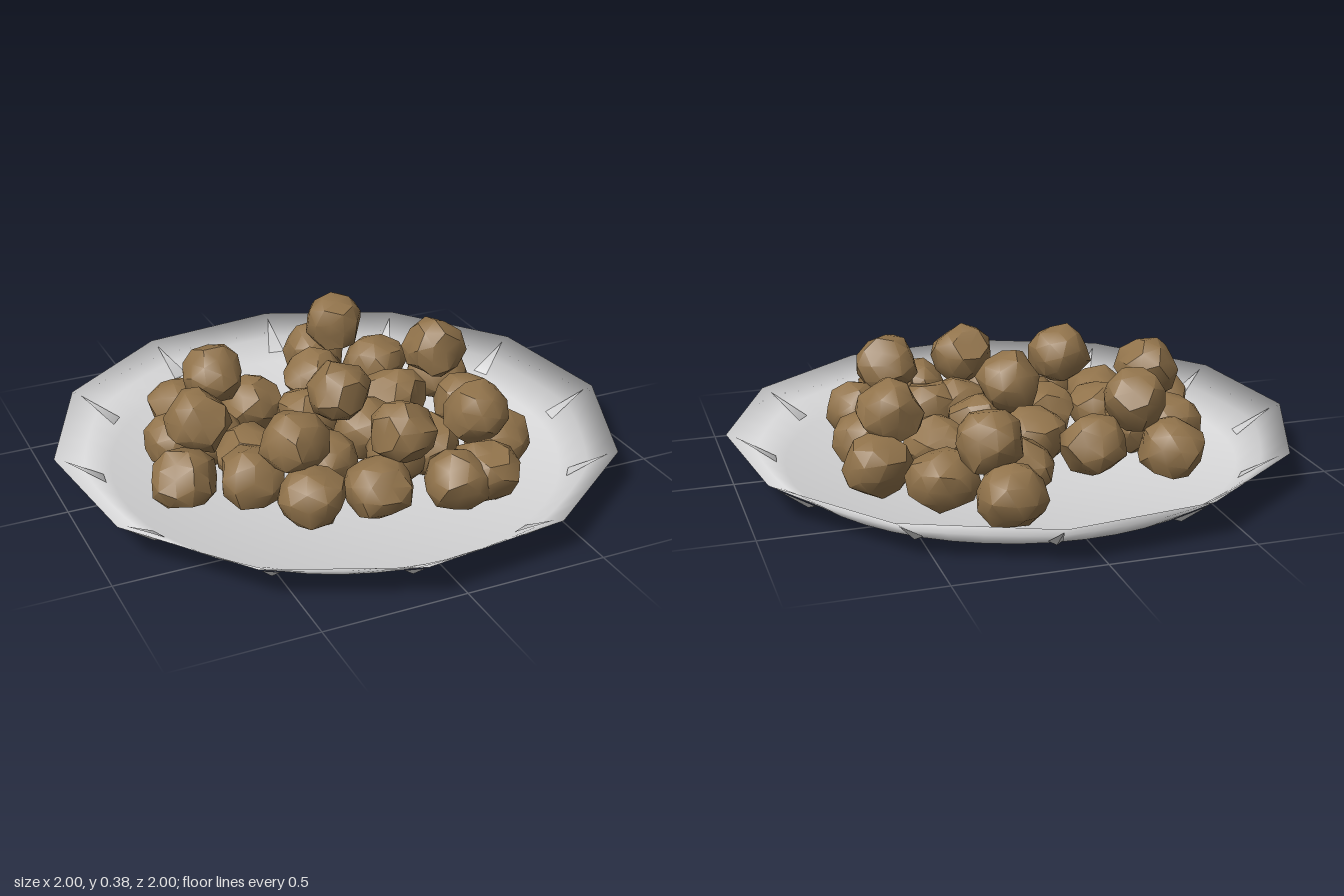
import * as THREE from 'three';
import { mergeVertices, toCreasedNormals } from 'three/addons/utils/BufferGeometryUtils.js';

const SIDES = 12;
const STEPS = SIDES * 4;
const TURN = THREE.MathUtils.degToRad(7.9);
const HALF = Math.PI / SIDES;

// Small seeded generator
function seeded(seed) {
  let s = seed;
  return () => (s = (s * 16807) % 2147483647) / 2147483647;
}

// Rings lofted from a round base to a twelve-cornered rim.
// Each level: t (0 base, 1 rim), scale of the base, lift, and normal as [outward, up]
function shellGeometry(levels, inside) {
  const pos = [], nor = [], idx = [];
  for (const { t, scale = 1, lift = 0, out, up } of levels) {
    for (let i = 0; i < STEPS; i++) {
      const a = (i / STEPS) * Math.PI * 2;
      const rim = 1.01 * Math.cos(HALF) / Math.cos((a % (2 * HALF)) - HALF);
      const r = THREE.MathUtils.lerp(0.81, rim, t) * scale;
      const c = Math.cos(a + TURN), s = Math.sin(a + TURN), len = Math.hypot(out, up);
      pos.push(r * c, 0.13 * t + lift, r * s);
      nor.push(c * out / len, up / len, s * out / len);
    }
  }
  for (let k = 0; k < levels.length - 1; k++) {
    for (let i = 0; i < STEPS; i++) {
      const a = k * STEPS + i, b = k * STEPS + (i + 1) % STEPS, c = a + STEPS, d = b + STEPS;
      if (inside) idx.push(a, b, c, b, d, c);
      else idx.push(a, c, b, b, c, d);
    }
  }
  const g = new THREE.BufferGeometry();
  g.setAttribute('position', new THREE.Float32BufferAttribute(pos, 3));
  g.setAttribute('normal', new THREE.Float32BufferAttribute(nor, 3));
  g.setIndex(idx);
  return g;
}

// Flat-sided triangles for a pleat lying along +x
function facets(points) {
  const g = new THREE.BufferGeometry();
  g.setAttribute('position', new THREE.Float32BufferAttribute(points.flat(), 3));
  g.computeVertexNormals();
  return g;
}

// Lumpy ball, slightly boxy, with broad soft facets
function lumpGeometry(seed) {
  const rand = seeded(seed);
  let g = new THREE.IcosahedronGeometry(1, 1);
  g.deleteAttribute('normal');
  g.deleteAttribute('uv');
  g = mergeVertices(g, 1e-4);
  const p = g.attributes.position, v = new THREE.Vector3();
  for (let i = 0; i < p.count; i++) {
    v.fromBufferAttribute(p, i);
    const boxy = Math.pow(v.x ** 4 + v.y ** 4 + v.z ** 4, -0.17);
    v.multiplyScalar(0.104 * boxy * (0.92 + 0.18 * rand()));
    p.setXYZ(i, v.x, v.y, v.z);
  }
  return toCreasedNormals(g, 0.65);
}

export function createModel() {
  const model = new THREE.Group();
  model.name = 'plateOfLumps';
  const metal = new THREE.MeshStandardMaterial({ color: 0xd8d8d9 });
  metal.name = 'pale grey metal';
  const brown = new THREE.MeshStandardMaterial({ color: 0x91734b });
  brown.name = 'brown crust';

  // Plate: dished inside, sloping outside and flat underside
  const plate = new THREE.Group();
  plate.name = 'plate';
  const addTo = (parent, geometry, name) => {
    const mesh = new THREE.Mesh(geometry, metal);
    mesh.name = name;
    parent.add(mesh);
    return mesh;
  };
  const inner = [
    { t: 0, scale: 0.001, lift: 0.004, out: 0, up: 1 },
    { t: 0, scale: 0.5, lift: 0.004, out: -0.12, up: 1 },
    { t: 0, lift: 0.004, out: -0.28, up: 1 },
    { t: 0.5, lift: 0.003, out: 0.3, up: 0.9 },
    { t: 1, out: 0.9, up: 0.35 },
  ];
  const outer = [
    { t: 0, out: 0.75, up: -0.65 },
    { t: 0.5, out: 0.95, up: 0 },
    { t: 1, out: 0.9, up: 0.35 },
  ];
  addTo(plate, shellGeometry(inner, true), 'plateInside');
  addTo(plate, shellGeometry(outer, false), 'plateOutside');
  const base = addTo(plate, new THREE.CircleGeometry(0.81, STEPS), 'plateUnderside');
  base.rotation.set(Math.PI / 2, 0, TURN);

  // Pleats pinched into the wall at each corner, seen on both faces
  const innerPleat = facets([[0.975, 0.118, 0], [0.84, 0.029, -0.031], [0.84, 0.029, 0.031]]);
  const low = [-0.75, 0.66, 0];
  innerPleat.setAttribute('normal', new THREE.Float32BufferAttribute([0.3, 0.95, 0, ...low, ...low], 3));
  const tip = [0.978, 0.106, 0], ridge = [0.864, 0.015, 0];
  const left = [0.85, 0.024, -0.025], right = [0.85, 0.024, 0.025];
  const outerPleat = facets([tip, ridge, left, tip, right, ridge, ridge, right, left]);
  for (let i = 0; i < SIDES; i++) {
    const pleat = new THREE.Group();
    pleat.name = 'pleat' + (i + 1);
    pleat.rotation.y = -TURN - i * 2 * HALF;
    addTo(pleat, innerPleat, 'pleatInside');
    addTo(pleat, outerPleat, 'pleatOutside');
    plate.add(pleat);
  }
  model.add(plate);

  // Lumps as [x, z] centres, in two layers
  const lower = [
    [-0.46, -0.39], [-0.21, -0.28], [-0.55, -0.14], [-0.44, -0.11], [-0.62, 0.13], [-0.36, 0.06],
    [-0.41, 0.22], [-0.28, 0.43], [-0.14, 0.21], [-0.16, 0.11], [-0.04, -0.14], [0.1, 0.05],
    [-0.05, 0.46], [0.12, 0.26], [0.24, 0.26], [0.22, 0.52], [0.33, 0.51], [0.49, 0.32],
    [0.53, 0.01], [0.31, -0.14], [0.55, -0.25], [0.1, -0.41], [0.37, -0.44], [0.2, -0.64],
  ];
  const upper = [
    [-0.36, -0.29], [-0.53, 0.03], [-0.29, 0.31], [0, 0.03],
    [0.07, 0.4], [0.37, 0.37], [0.48, -0.16], [0.24, -0.54],
  ];
  const shapes = [11, 271, 907, 4051, 7727].map((s) => lumpGeometry(s * 7919));
  const rand = seeded(4242);
  const addLayer = (spots, y, size, squash, name) => {
    const layer = new THREE.Group();
    layer.name = name;
    layer.position.y = y;
    layer.scale.y = squash;
    spots.forEach(([x, z], i) => {
      const lump = new THREE.Mesh(shapes[i % shapes.length], brown);
      lump.name = 'lump' + (i + 1);
      lump.position.set(x, 0, z);
      lump.rotation.set(rand() * 6.28, rand() * 6.28, rand() * 6.28);
      lump.scale.setScalar(size);
      layer.add(lump);
    });
    model.add(layer);
  };
  addLayer(lower, 0.108, 1.04, 0.9, 'lowerLumps');
  addLayer(upper, 0.262, 1, 0.97, 'upperLumps');
  return model;
}
